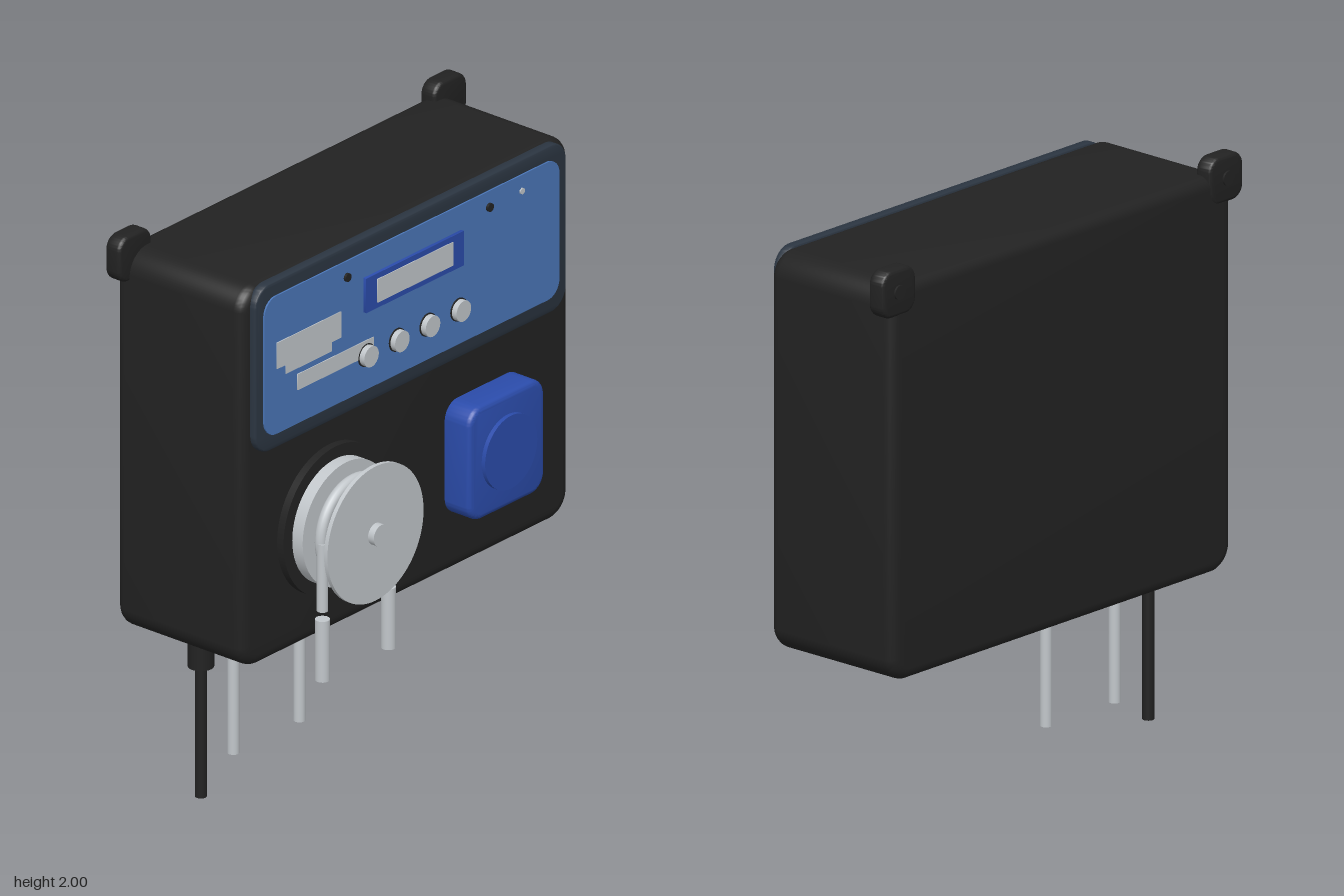
import * as THREE from 'three';
import { toCreasedNormals } from 'three/addons/utils/BufferGeometryUtils.js';

const material = (name, color) => {
  const m = new THREE.MeshStandardMaterial({ color });
  m.name = name;
  return m;
};

export function createModel() {
  const black = material('black plastic', 0x222222);
  const navy = material('dark navy trim', 0x2b3541);
  const panelBlue = material('panel blue', 0x4a76b8);
  const blue = material('strong blue', 0x2b4cab);
  const grey = material('light grey', 0xc1c6ca);
  const model = new THREE.Group();

  const add = (parent, name, geometry, mat, x = 0, y = 0, z = 0) => {
    const mesh = new THREE.Mesh(geometry, mat);
    mesh.name = name;
    mesh.position.set(x, y, z);
    parent.add(mesh);
    return mesh;
  };

  // Rounded plate spanning the given limits, with optional rounded front and back edges
  const plate = (parent, name, mat, [x0, x1], [y0, y1], [z0, z1], r = 0, bevel = 0) => {
    const w = (x1 - x0) / 2 - bevel, h = (y1 - y0) / 2 - bevel;
    const c = Math.max(r - bevel, 0.001);
    const s = new THREE.Shape();
    s.moveTo(-w + c, -h);
    s.absarc(w - c, -h + c, c, -Math.PI / 2, 0);
    s.absarc(w - c, h - c, c, 0, Math.PI / 2);
    s.absarc(-w + c, h - c, c, Math.PI / 2, Math.PI);
    s.absarc(-w + c, -h + c, c, Math.PI, Math.PI * 1.5);
    const g = new THREE.ExtrudeGeometry(s, {
      depth: z1 - z0 - 2 * bevel, curveSegments: r ? 8 : 1, bevelEnabled: bevel > 0,
      bevelSize: bevel, bevelThickness: bevel, bevelSegments: 5,
    });
    return add(parent, name, toCreasedNormals(g, 0.6), mat, (x0 + x1) / 2, (y0 + y1) / 2, z0 + bevel);
  };

  // Disc facing the front
  const disc = (parent, name, mat, x, y, [z0, z1], r, sides = 32) => {
    const g = new THREE.CylinderGeometry(r, r, z1 - z0, sides).rotateX(Math.PI / 2);
    return add(parent, name, g, mat, x, y, (z0 + z1) / 2);
  };

  // Upright rod
  const rod = (parent, name, mat, x, [y0, y1], z, r, sides = 24) =>
    add(parent, name, new THREE.CylinderGeometry(r, r, y1 - y0, sides), mat, x, (y0 + y1) / 2, z);

  // Housing and mounting ears
  plate(model, 'housing', black, [-0.83, 0.83], [0.56, 1.94], [-0.385, 0.165], 0.09, 0.04);
  for (const s of [-1, 1]) {
    const ear = new THREE.Group();
    ear.name = s > 0 ? 'leftMountingEar' : 'rightMountingEar';
    model.add(ear);
    plate(ear, 'earPlate', black, [s * 0.797 - 0.083, s * 0.797 + 0.083], [1.835, 2], [-0.388, -0.322], 0.05, 0.015);
    disc(ear, 'earBoss', black, s * 0.8, 1.92, [-0.395, -0.33], 0.025);
  }

  // Control panel
  const panel = new THREE.Group();
  panel.name = 'controlPanel';
  model.add(panel);
  plate(panel, 'panelSurround', navy, [-0.79, 0.785], [1.335, 1.94], [0.15, 0.187], 0.075, 0.008);
  plate(panel, 'panelFace', panelBlue, [-0.75, 0.742], [1.39, 1.89], [0.18, 0.193], 0.06);
  plate(panel, 'displayBezel', blue, [-0.25, 0.245], [1.675, 1.8], [0.19, 0.205]);
  plate(panel, 'displayScreen', grey, [-0.195, 0.188], [1.695, 1.78], [0.2, 0.208]);
  for (const x of [-0.237, -0.081, 0.074, 0.23]) {
    disc(panel, 'buttonRim', black, x, 1.517, [0.19, 0.197], 0.041);
    disc(panel, 'pushButton', grey, x, 1.517, [0.19, 0.217], 0.037);
  }
  for (const x of [-0.335, 0.385]) disc(panel, 'indicator', black, x, 1.833, [0.19, 0.202], 0.015, 16);
  disc(panel, 'statusLight', grey, 0.551, 1.833, [0.19, 0.198], 0.012, 6);
  // Plain label blocks
  plate(panel, 'labelBlock', grey, [-0.69, -0.365], [1.625, 1.72], [0.19, 0.196]);
  plate(panel, 'labelFoot', grey, [-0.645, -0.412], [1.592, 1.626], [0.19, 0.196]);
  plate(panel, 'labelStrip', grey, [-0.585, -0.2], [1.512, 1.57], [0.19, 0.196]);

  // Pump head with rotor, rollers and clear cover
  const pump = new THREE.Group();
  pump.name = 'pumpHead';
  model.add(pump);
  const px = -0.39, py = 0.975;
  disc(pump, 'pumpCollar', black, px, py, [0.15, 0.193], 0.264, 64);
  disc(pump, 'pumpBase', grey, px, py, [0.19, 0.238], 0.22, 64);
  disc(pump, 'pumpCore', grey, px, py, [0.235, 0.29], 0.15, 48);
  add(pump, 'pumpTubeLoop', new THREE.TorusGeometry(0.168, 0.02, 16, 64), grey, px, py, 0.272);
  disc(pump, 'rotorPlate', grey, px, py, [0.285, 0.307], 0.135, 48);
  for (const s of [-1, 1]) disc(pump, 'roller', grey, px + s * 0.117, py + 0.02, [0.295, 0.33], 0.045);
  disc(pump, 'coverDisc', grey, px, py, [0.35, 0.365], 0.243, 96);
  disc(pump, 'shaft', grey, px, py, [0.3, 0.39], 0.038);

  // Pump hoses at the front, and outlets beneath the housing
  for (const x of [-0.559, -0.225]) {
    rod(model, 'pumpHose', grey, x, [0.73, 0.975], 0.28, 0.019);
    rod(model, 'hoseSleeve', grey, x, [0.48, 0.7], 0.28, 0.025);
    rod(model, 'outletGland', navy, x, [0.485, 0.57], -0.105, 0.033);
    rod(model, 'outletTube', grey, x, [0.1, 0.5], -0.105, 0.02);
  }
  rod(model, 'cableGland', black, -0.723, [0.472, 0.57], -0.105, 0.044);
  rod(model, 'powerCable', black, -0.723, [0, 0.49], -0.105, 0.02);

  // Large blue switch
  const power = new THREE.Group();
  power.name = 'powerSwitch';
  model.add(power);
  plate(power, 'switchBox', blue, [0.193, 0.575], [0.77, 1.18], [0.15, 0.275], 0.065, 0.02);
  disc(power, 'switchButton', blue, 0.384, 0.975, [0.26, 0.29], 0.132, 48);

  return model;
}
